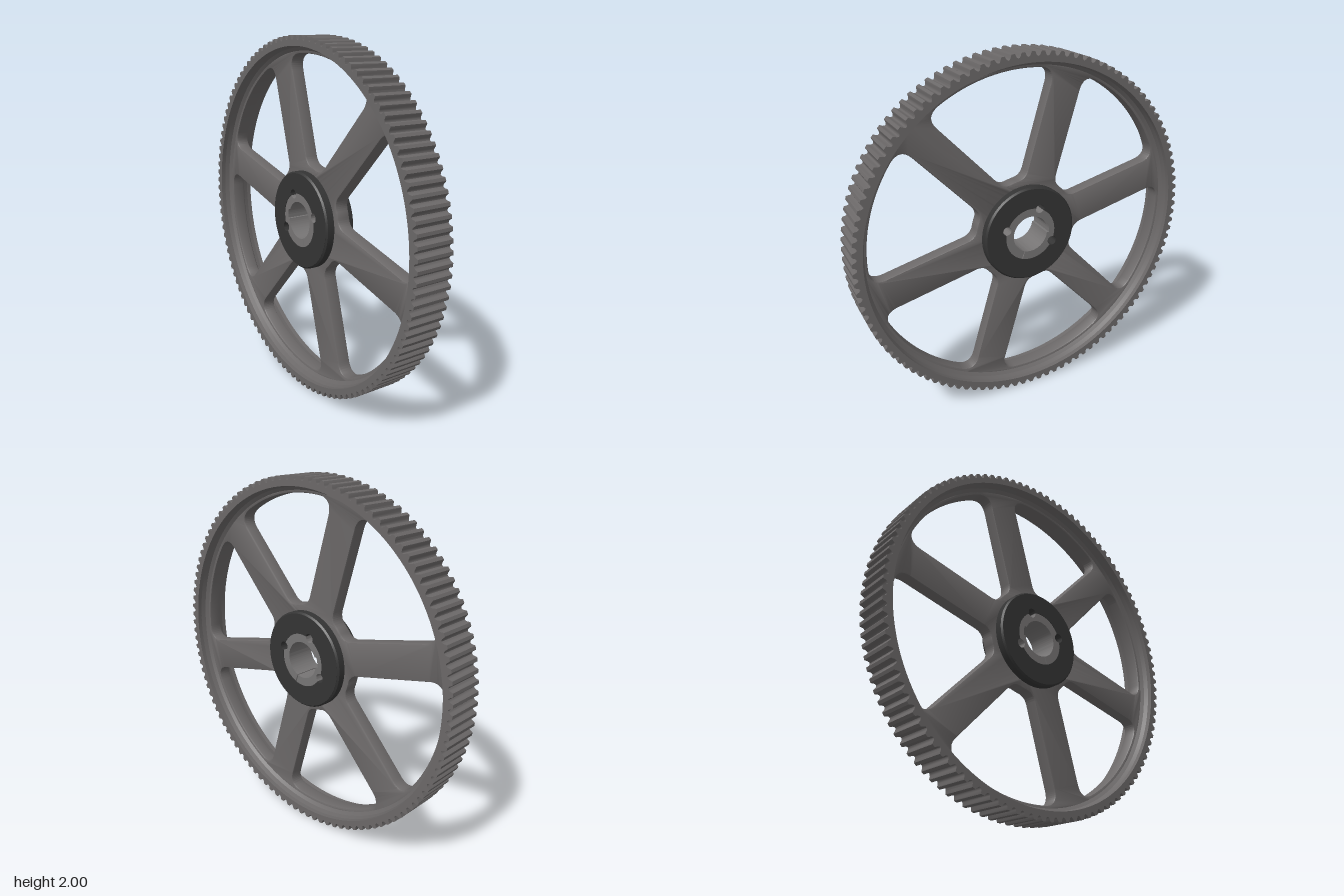
import * as THREE from 'three';
import { toCreasedNormals } from 'three/addons/utils/BufferGeometryUtils.js';

const TAU = Math.PI * 2;
const rad = THREE.MathUtils.degToRad;
const polar = (r, a) => new THREE.Vector2(r * Math.cos(a), r * Math.sin(a));

// Extrudes a shape symmetrically about z = 0, smooth on curves and sharp on edges.
function slab(shape, thickness, bevel = 0) {
  const g = new THREE.ExtrudeGeometry(shape, {
    depth: thickness - 2 * bevel, curveSegments: 96, bevelEnabled: bevel > 0,
    bevelThickness: bevel, bevelSize: bevel, bevelOffset: -bevel, bevelSegments: 2,
  });
  g.translate(0, 0, -thickness / 2 + bevel);
  return toCreasedNormals(g, 0.5);
}

// Turned part around the z axis, from [radius, z] pairs.
function turned(points) {
  const g = new THREE.LatheGeometry(points.map(([r, z]) => new THREE.Vector2(r, z)), 128);
  g.rotateX(Math.PI / 2);
  return toCreasedNormals(g, 0.5);
}

function circlePath(r) {
  return new THREE.Path().absarc(0, 0, r, 0, TAU, true);
}

// Outer rim outline: flat-topped teeth with round grooves between them.
function toothedShape(teeth, tip, depth) {
  const pts = [];
  const pitch = TAU / teeth;
  for (let i = 0; i < teeth; i++) {
    const a = i * pitch;
    pts.push(polar(tip, a), polar(tip, a + 0.15 * pitch));
    for (let k = 0; k <= 6; k++) {
      const t = k / 6;
      const f = 0.2 + 0.6 * t;
      pts.push(polar(tip - 0.003 - (depth - 0.003) * Math.sin(Math.PI * t) ** 0.7, a + f * pitch));
    }
    pts.push(polar(tip, a + 0.85 * pitch));
  }
  return new THREE.Shape(pts);
}

// Rounded opening between two neighbouring spokes.
function windowPath(spokeAngle, halfWidth, rIn, rOut) {
  const next = spokeAngle + TAU / 6;
  const edge = (r, side) => {
    const d = Math.asin(halfWidth / r);
    return side ? next - d : spokeAngle + d;
  };
  const cutOut = 0.085, cutIn = 0.05;
  const p = new THREE.Path();
  const to = (v) => p.lineTo(v.x, v.y);
  const corner = (c, e) => p.quadraticCurveTo(c.x, c.y, e.x, e.y);
  const start = polar(rOut, edge(rOut, 0) + cutOut / rOut);
  p.moveTo(start.x, start.y);
  p.absarc(0, 0, rOut, edge(rOut, 0) + cutOut / rOut, edge(rOut, 1) - cutOut / rOut, false);
  corner(polar(rOut, edge(rOut, 1)), polar(rOut - cutOut, edge(rOut - cutOut, 1)));
  to(polar(rIn + cutIn, edge(rIn + cutIn, 1)));
  corner(polar(rIn, edge(rIn, 1)), polar(rIn, edge(rIn, 1) - cutIn / rIn));
  to(polar(rIn, edge(rIn, 0) + cutIn / rIn));
  corner(polar(rIn, edge(rIn, 0)), polar(rIn + cutIn, edge(rIn + cutIn, 0)));
  to(polar(rOut - cutOut, edge(rOut - cutOut, 0)));
  corner(polar(rOut, edge(rOut, 0)), start);
  return p;
}

// Depth of the screw holes straddling the joint between hub and bush.
const JOINT = 0.152;
const HOLE = 0.026;
const holeAngles = [68, 162, 333].map(rad);
function bite(a) {
  let s = 0;
  for (const h of holeAngles) {
    const d = JOINT * Math.atan2(Math.sin(a - h), Math.cos(a - h));
    s = Math.max(s, Math.sqrt(Math.max(0, HOLE * HOLE - d * d)));
  }
  return s;
}

export function createModel() {
  const castGrey = new THREE.MeshStandardMaterial({ color: 0x6b6868 });
  castGrey.name = 'cast grey';
  const hubBlack = new THREE.MeshStandardMaterial({ color: 0x343434 });
  hubBlack.name = 'hub black';
  const bushGrey = new THREE.MeshStandardMaterial({ color: 0x767474 });
  bushGrey.name = 'bush grey';

  const wheel = new THREE.Group();
  wheel.name = 'toothedWheel';
  const add = (name, geometry, material) => {
    const m = new THREE.Mesh(geometry, material);
    m.name = name;
    wheel.add(m);
  };

  // Toothed rim
  const rim = toothedShape(112, 1, 0.025);
  rim.holes.push(circlePath(0.945));
  add('toothedRim', slab(rim, 0.215), castGrey);

  // Sloped fillets from the rim down to the web
  add('frontRimFillet', turned([[0.946, 0.085], [0.938, 0.055], [0.92, 0.0395]]), castGrey);
  add('backRimFillet', turned([[0.92, -0.0395], [0.938, -0.055], [0.946, -0.085]]), castGrey);

  // Web with six spokes
  const web = new THREE.Shape().absarc(0, 0, 0.96, 0, TAU, false);
  web.holes.push(circlePath(0.23));
  for (let i = 0; i < 6; i++) {
    web.holes.push(windowPath(rad(13.5 + 60 * i), 0.094, 0.31, 0.905));
  }
  add('spokes', slab(web, 0.08, 0.01), castGrey);

  // Hub with chamfered edge
  const hub = new THREE.Shape().absarc(0, 0, 0.266, 0, TAU, false);
  const seat = [];
  for (let i = 0; i < 360; i++) seat.push(polar(JOINT + bite(rad(i)), rad(i)));
  hub.holes.push(new THREE.Path(seat));
  add('hub', slab(hub, 0.18), hubBlack);
  add('hubEdge', turned([[0.265, -0.09], [0.275, -0.08], [0.275, 0.08], [0.265, 0.09]]), hubBlack);

  // Split bush with keyway
  const slit = rad(250);
  const outer = [], bore = [];
  for (let i = 1; i < 360; i++) {
    const a = slit + rad(i);
    outer.push(polar(JOINT - bite(a), a));
    const fromKey = Math.atan2(Math.sin(a - rad(8)), Math.cos(a - rad(8)));
    bore.push(polar(Math.abs(fromKey) < 0.25 ? 0.118 : 0.105, a));
  }
  add('splitBush', slab(new THREE.Shape([...outer, ...bore.reverse()]), 0.174), bushGrey);

  // Stand the wheel up with its axle along x
  wheel.rotation.y = Math.PI / 2;
  wheel.position.y = 1;
  const model = new THREE.Group();
  model.name = 'beltPulley';
  model.add(wheel);
  return model;
}
